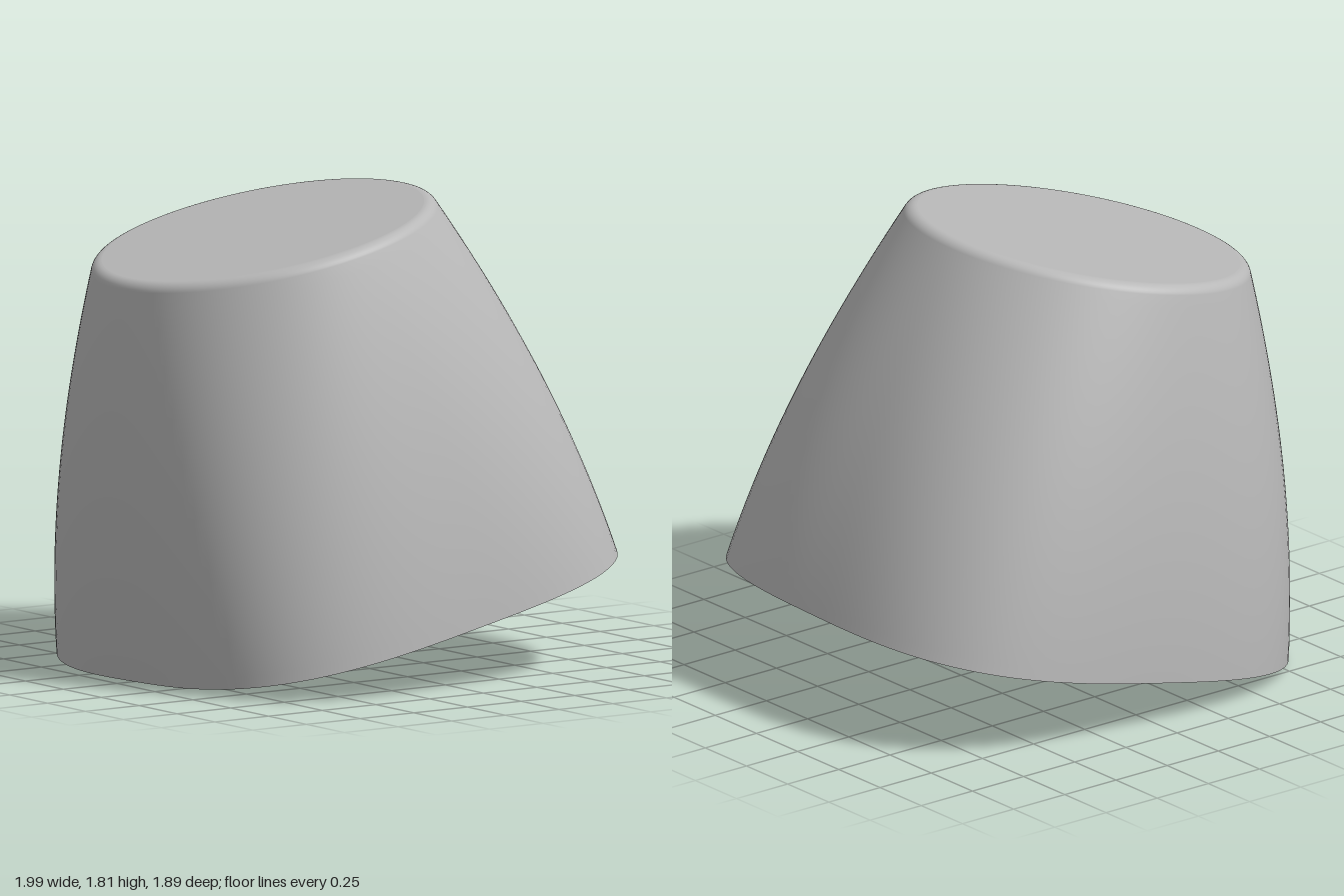
import * as THREE from 'three';

const SEGMENTS = 128;   // points around each cross-section
const HEIGHT = 1.495;   // along the tilted axis
const FILLET = 0.05;    // rounding of the top edge
const LEAN = 0.36;      // angle of the wall where the fillet starts

// Horizontal section: rounded square at the base, turning into a circle at the top
function ring(v, inset) {
  const t = Math.min(v / HEIGHT, 1);
  const n = 3 - t;
  const halfX = 0.993 - 0.07 * v - 0.104 * v * v - inset;
  const halfZ = 0.945 - 0.066 * v - 0.082 * v * v - inset;
  const points = [];
  for (let j = 0; j < SEGMENTS; j++) {
    const a = (j / SEGMENTS) * Math.PI * 2;
    const c = Math.cos(a), s = Math.sin(a);
    const r = Math.pow(Math.abs(c) ** n + Math.abs(s) ** n, -1 / n);
    points.push([halfX * r * c, v, halfZ * r * s]);
  }
  return points;
}

// Joins rings from bottom to top
function loft(rings) {
  const index = [];
  for (let i = 0; i < rings.length - 1; i++) {
    for (let j = 0; j < SEGMENTS; j++) {
      const k = (j + 1) % SEGMENTS;
      const a = i * SEGMENTS + j, b = i * SEGMENTS + k;
      const c = a + SEGMENTS, d = b + SEGMENTS;
      index.push(a, c, b, b, c, d);
    }
  }
  return build(rings.flat(2), index);
}

// Flat disc filling one ring
function cap(points, facesUp) {
  const index = [];
  for (let j = 0; j < SEGMENTS; j++) {
    const k = (j + 1) % SEGMENTS;
    index.push(SEGMENTS, ...(facesUp ? [k, j] : [j, k]));
  }
  return build([...points, [0, points[0][1], 0]].flat(), index);
}

function build(positions, index) {
  const geometry = new THREE.BufferGeometry();
  geometry.setAttribute('position', new THREE.Float32BufferAttribute(positions, 3));
  geometry.setIndex(index);
  geometry.computeVertexNormals();
  return geometry;
}

export function createModel() {
  const model = new THREE.Group();
  model.name = 'taperedBlock';
  const grey = new THREE.MeshStandardMaterial({ color: 0xb8b8b8 });
  grey.name = 'grey';

  // Bulging wall
  const rings = [];
  const wallTop = HEIGHT - FILLET * (1 - Math.sin(LEAN));
  for (let i = 0; i <= 32; i++) rings.push(ring((wallTop * i) / 32, 0));

  // Rounded upper edge
  for (let i = 1; i <= 8; i++) {
    const a = LEAN + (Math.PI / 2 - LEAN) * (i / 8);
    const lift = FILLET * (Math.sin(a) - Math.sin(LEAN));
    const inset = FILLET * (Math.cos(LEAN) - Math.cos(a));
    const points = ring(wallTop, inset);
    points.forEach((p) => { p[1] += lift; });
    rings.push(points);
  }

  const parts = {
    wall: loft(rings),
    topFace: cap(rings[rings.length - 1], true),
    baseFace: cap(rings[0], false),
  };

  // The whole block is tipped towards -x
  const block = new THREE.Group();
  block.name = 'tiltedBlock';
  for (const [name, geometry] of Object.entries(parts)) {
    const mesh = new THREE.Mesh(geometry, grey);
    mesh.name = name;
    block.add(mesh);
  }
  block.rotation.set(-0.027, 0, 0.2145);
  block.position.set(0.025, 0.217, 0);
  model.add(block);
  return model;
}
